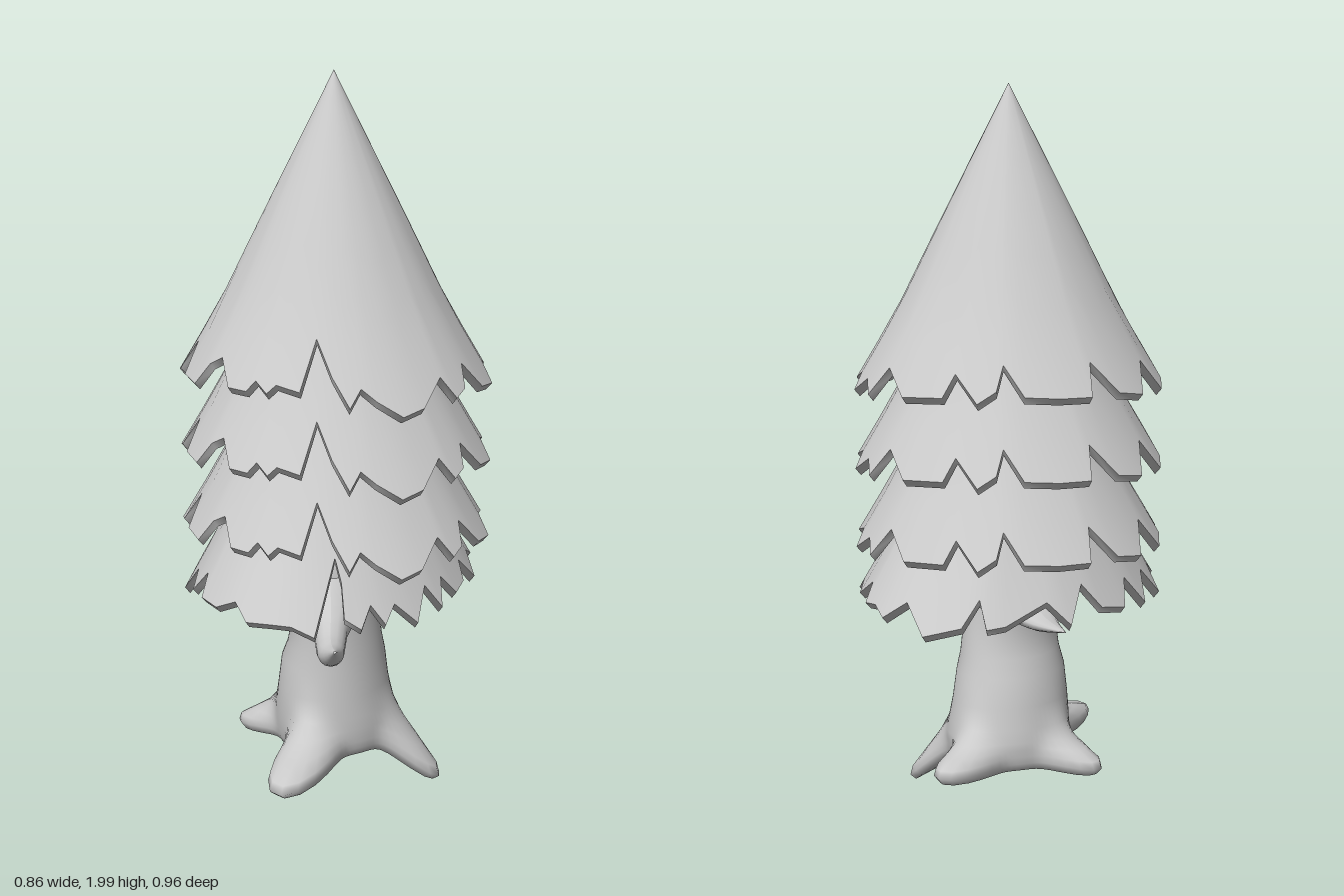
import * as THREE from 'three';

const material = new THREE.MeshStandardMaterial({ color: 0xcccccc, side: THREE.DoubleSide });

// Skin closed rings of [x, y, z] points, listed from top to bottom
function loft(rings) {
  const n = rings[0].length, index = [];
  for (let i = 0; i < rings.length - 1; i++) {
    for (let j = 0; j < n; j++) {
      const k = (j + 1) % n, a = i * n + j, b = i * n + k;
      index.push(a, b, a + n, b, b + n, a + n);
    }
  }
  const g = new THREE.BufferGeometry();
  g.setAttribute('position', new THREE.Float32BufferAttribute(rings.flat(2), 3));
  g.setIndex(index);
  g.computeVertexNormals();
  return g;
}

function part(name, geometry, parent) {
  const mesh = new THREE.Mesh(geometry, material);
  mesh.name = name;
  parent.add(mesh);
  return mesh;
}

// Height of the foliage cone at a given radius
const PROFILE = [[0, 2], [0.2, 1.61], [0.31, 1.39], [0.43, 1.19]];
function coneHeight(r) {
  let i = 0;
  while (i < 2 && r > PROFILE[i + 1][0]) i++;
  const [r0, y0] = PROFILE[i], [r1, y1] = PROFILE[i + 1];
  return y0 + (y1 - y0) * (r - r0) / (r1 - r0);
}

// Ragged rims as x, z pairs, running from +x towards +z
const UPPER_RIM = [
  [0.43, -0.03], [0.39, 0.02], [0.42, 0.06], [0.42, 0.11], [0.38, 0.13], [0.38, 0.22], [0.35, 0.28],
  [0.29, 0.31], [0.25, 0.32], [0.24, 0.36], [0.18, 0.345], [0.12, 0.315], [0.115, 0.395], [0.05, 0.4],
  [0.03, 0.415], [-0.01, 0.4], [-0.03, 0.415], [-0.09, 0.405], [-0.14, 0.35], [-0.18, 0.345],
  [-0.22, 0.36], [-0.29, 0.3], [-0.29, 0.23], [-0.35, 0.23], [-0.4, 0.16], [-0.37, 0.1],
  [-0.43, 0.03], [-0.42, -0.06], [-0.36, -0.11], [-0.4, -0.15], [-0.36, -0.23], [-0.3, -0.3],
  [-0.23, -0.3], [-0.24, -0.34], [-0.21, -0.38], [-0.13, -0.37], [-0.12, -0.41], [0, -0.43],
  [0.09, -0.38], [0.14, -0.41], [0.18, -0.37], [0.24, -0.36], [0.25, -0.32], [0.34, -0.25],
  [0.38, -0.14], [0.42, -0.12],
];
const LOWEST_RIM = [
  [0.38, 0], [0.35, 0.04], [0.38, 0.09], [0.34, 0.12], [0.36, 0.2], [0.31, 0.24], [0.31, 0.29],
  [0.27, 0.3], [0.27, 0.35], [0.23, 0.37], [0.2, 0.33], [0.17, 0.31], [0.18, 0.44], [0.12, 0.455],
  [0.07, 0.47], [0, 0.48], [-0.05, 0.45], [-0.11, 0.45], [-0.18, 0.41], [-0.19, 0.36],
  [-0.24, 0.36], [-0.26, 0.3], [-0.32, 0.28], [-0.31, 0.2], [-0.37, 0.14], [-0.34, 0.08],
  [-0.38, 0.03], [-0.37, -0.06], [-0.33, -0.1], [-0.36, -0.18], [-0.31, -0.22], [-0.27, -0.34],
  [-0.24, -0.38], [-0.2, -0.36], [-0.19, -0.42], [-0.11, -0.48], [-0.03, -0.45], [0.03, -0.48],
  [0.08, -0.455], [0.13, -0.44], [0.14, -0.4], [0.2, -0.39], [0.25, -0.32], [0.29, -0.3],
  [0.31, -0.22], [0.36, -0.17], [0.34, -0.1], [0.37, -0.07],
];

// Hollow cone of foliage: outer skin, thin lip and inner skin
function foliageTier(rim, drop, sx = 1, sz = 1) {
  const tier = new THREE.Group();
  const ring = (t, inner) => rim.map(([x, z]) => {
    const s = inner ? t * 0.965 : t;
    const y = coneHeight(t * Math.hypot(x / sx, z / sz)) - drop - (inner ? 0.018 : 0);
    return [x * s, y, z * s];
  });
  const steps = [0, 0.1, 0.25, 0.4, 0.55, 0.7, 0.85, 1];
  part('foliageOuter', loft(steps.map(t => ring(t, false))), tier);
  part('foliageLip', loft([ring(1, false), ring(1, true)]), tier);
  part('foliageInner', loft([...steps].reverse().map(t => ring(t, true))), tier);
  return tier;
}

// Root tips
const ROOTS = [[0.3, 0.01, -0.09], [0.07, 0.13, 0.44], [-0.3, 0.12, 0.05], [-0.07, 0.155, -0.36]];

// Trunk rows: y, centre x, centre z, radius x, radius z, root weight
const TRUNK = [
  [0.8, 0, 0.02, 0.001, 0.001, 0], [0.8, 0, 0.02, 0.1, 0.13, 0], [0.62, 0.01, 0.045, 0.115, 0.155, 0],
  [0.52, 0.025, 0.035, 0.11, 0.155, 0], [0.43, 0.02, 0.03, 0.125, 0.16, 0],
  [0.38, 0.013, 0.025, 0.14, 0.17, 0], [0.3, 0.01, 0.02, 0.15, 0.18, 0], [0.24, 0.01, 0.015, 0.16, 0.185, 0.06],
  [0.205, 0.01, 0.01, 0.165, 0.185, 0.28], [0.185, 0.01, 0.01, 0.165, 0.185, 0.6],
  [0.165, 0.01, 0.01, 0.165, 0.18, 0.93], [0.145, 0.01, 0.01, 0.163, 0.178, 1],
  [0.125, 0.01, 0.01, 0.155, 0.17, 0.93], [0.125, 0.01, 0.01, 0.13, 0.14, 0.5],
  [0.14, 0.01, 0.01, 0.08, 0.08, 0.1], [0.15, 0.01, 0.01, 0.001, 0.001, 0],
];

// Trunk that spreads into webbed roots at the foot
function trunkGeometry() {
  const sides = 72;
  return loft(TRUNK.map(([y, cx, cz, rx, rz, w]) => Array.from({ length: sides }, (_, j) => {
    const a = j / sides * Math.PI * 2;
    let reach = 0, lift = 0;
    for (const [x, ty, z] of ROOTS) {
      let d = Math.abs(a - Math.atan2(z, x)) % (Math.PI * 2);
      d = Math.min(d, Math.PI * 2 - d);
      const lobe = w * Math.exp(-((d / 0.29) ** 2));
      reach += lobe * (Math.hypot(x, z) - 0.17);
      lift += lobe * (ty - 0.14);
    }
    return [cx + (rx + reach) * Math.cos(a), y + lift, cz + (rz + reach) * Math.sin(a)];
  })));
}

// Tapering limb along a curve; flat squashes it vertically
function branchGeometry(points, radii, flat = 1) {
  const curve = new THREE.CatmullRomCurve3(points.map(p => new THREE.Vector3(...p)));
  const segs = 20, sides = 14, g = new THREE.TubeGeometry(curve, segs, 1, sides);
  const pos = g.attributes.position, v = new THREE.Vector3();
  for (let i = 0; i < pos.count; i++) {
    const t = Math.floor(i / (sides + 1)) / segs, c = curve.getPointAt(t);
    const f = t * (radii.length - 1), k = Math.min(Math.floor(f), radii.length - 2);
    v.fromBufferAttribute(pos, i).sub(c).multiplyScalar(THREE.MathUtils.lerp(radii[k], radii[k + 1], f - k));
    v.y *= flat;
    v.add(c);
    pos.setXYZ(i, v.x, v.y, v.z);
  }
  g.computeVertexNormals();
  return g;
}

export function createModel() {
  const tree = new THREE.Group();
  tree.name = 'tree';

  // Stacked foliage
  const tiers = [0, 0.215, 0.43].map(drop => foliageTier(UPPER_RIM, drop));
  tiers.push(foliageTier(LOWEST_RIM, 0.575, 0.88, 1.12));
  tiers.forEach((tier, i) => {
    tier.name = `foliageTier${i + 1}`;
    tree.add(tier);
  });

  // Trunk and its two branches
  part('trunk', trunkGeometry(), tree);
  part('frontBranch', branchGeometry(
    [[0.03, 0.58, 0.08], [0.12, 0.55, 0.24], [0.19, 0.53, 0.37], [0.25, 0.575, 0.46]],
    [0.11, 0.075, 0.045, 0.035, 0.003]), tree);
  part('backBranch', branchGeometry(
    [[0, 0.6, 0], [-0.12, 0.59, -0.07], [-0.24, 0.58, -0.15], [-0.38, 0.595, -0.235]],
    [0.13, 0.1, 0.06, 0.03, 0.003], 0.5), tree);
  return tree;
}
